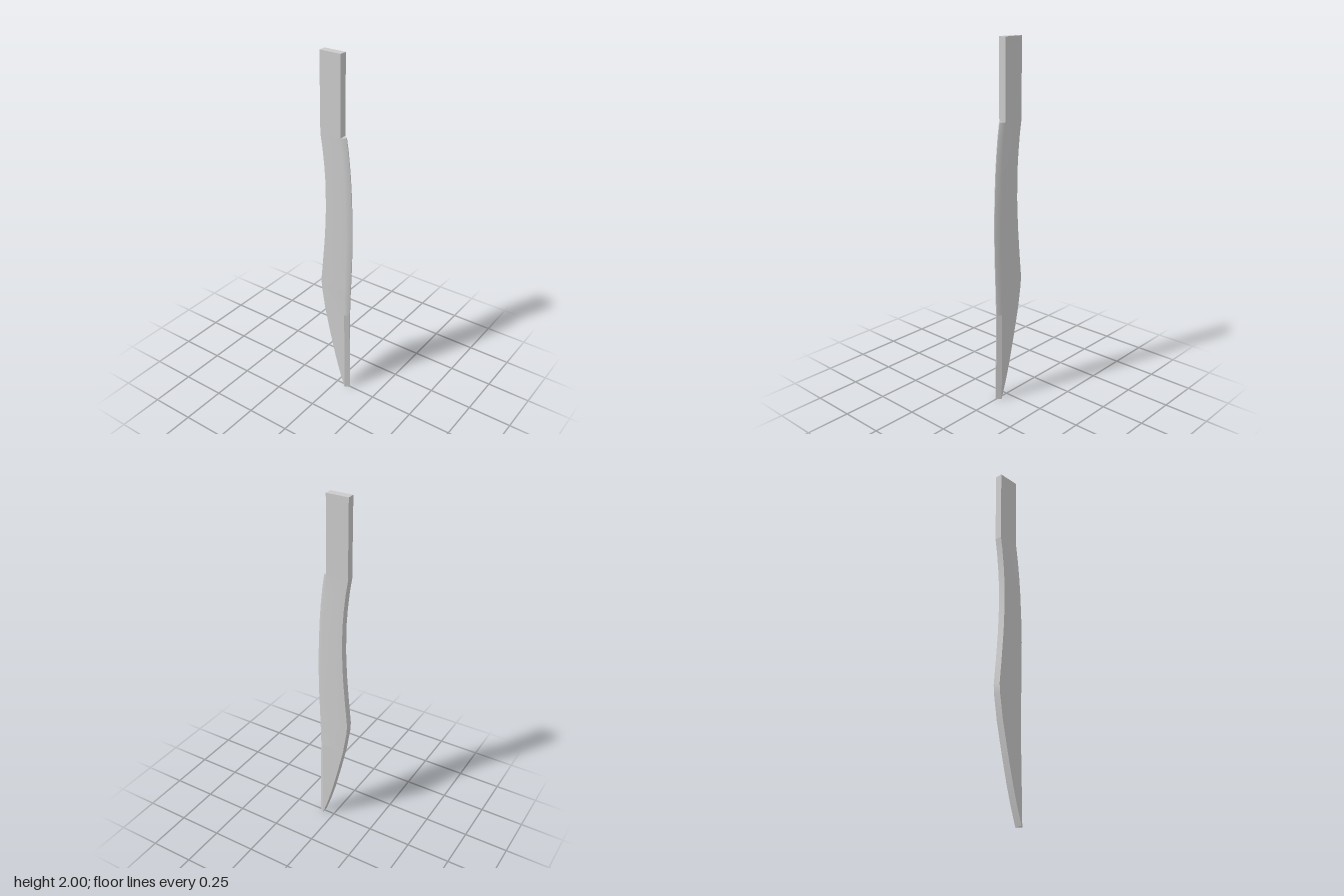
import * as THREE from 'three';
import { mergeVertices } from 'three/addons/utils/BufferGeometryUtils.js';

const HALF = 0.021;  // half thickness of the stock
const TIP = 0.002;   // half thickness of the cutting edge

// Blade stations from top to bottom: [y, spine z, bevel start z, edge z]
const stations = [
  [1.575, -0.093, 0.032, 0.055],
  [1.5, -0.081, 0.042, 0.067],
  [1.4, -0.07, 0.051, 0.078],
  [1.3, -0.063, 0.057, 0.086],
  [1.15, -0.062, 0.063, 0.093],
  [1.0, -0.069, 0.066, 0.096],
  [0.85, -0.082, 0.065, 0.094],
  [0.7, -0.097, 0.062, 0.089],
  [0.65, -0.094, 0.061, 0.087],
  [0.515, -0.073, 0.06, 0.084],
  [0.35, -0.036, 0.061, 0.086],
  [0.2, 0.001, 0.062, 0.088],
  [0.1, 0.03, 0.063, 0.089],
  [0, 0.064, 0.066, 0.09],
];
const HEEL = 9;  // station below which the bevel has a sharp border

// Cross-section ring, counter-clockwise seen from above
const ring = ([y, spine, bevel, edge]) => [
  [HALF, y, spine], [-HALF, y, spine], [-HALF, y, bevel],
  [-TIP, y, edge], [TIP, y, edge], [HALF, y, bevel],
];

function geometryFrom(points) {
  const g = new THREE.BufferGeometry();
  g.setAttribute('position', new THREE.Float32BufferAttribute(points.flat(), 3));
  const merged = mergeVertices(g, 1e-5);
  merged.computeVertexNormals();
  return merged;
}

// Lengthwise faces of the blade, smoothly joined to each other
function strip(rings, sides) {
  const points = [];
  for (const i of sides) {
    const j = (i + 1) % 6;
    for (let k = 0; k < rings.length - 1; k++) {
      const a = rings[k][i], b = rings[k][j], c = rings[k + 1][j], d = rings[k + 1][i];
      points.push(a, c, b, a, d, c);
    }
  }
  return geometryFrom(points);
}

// Flat convex face through a loop of corners
function face(loop) {
  const points = [];
  for (let i = 1; i < loop.length - 1; i++) points.push(loop[0], loop[i], loop[i + 1]);
  return geometryFrom(points);
}

export function createModel() {
  const model = new THREE.Group();
  model.name = 'knife';
  const steel = new THREE.MeshStandardMaterial({ color: 0xcacaca });
  steel.name = 'grey steel';
  const add = (parent, geometry, name) => {
    const mesh = new THREE.Mesh(geometry, steel);
    mesh.name = name;
    parent.add(mesh);
    return mesh;
  };

  // Blade with a wavy spine; the bevel blends into the sides above the heel
  const blade = new THREE.Group();
  blade.name = 'blade';
  const rings = stations.map(ring);
  const upper = rings.slice(0, HEEL + 1), lower = rings.slice(HEEL);
  add(blade, strip(rings, [0]), 'spine');
  add(blade, strip(rings, [3]), 'cuttingEdge');
  add(blade, strip(upper, [1, 2]), 'rightUpperFlank');
  add(blade, strip(upper, [4, 5]), 'leftUpperFlank');
  add(blade, strip(lower, [1]), 'rightLowerSide');
  add(blade, strip(lower, [2]), 'rightLowerBevel');
  add(blade, strip(lower, [4]), 'leftLowerBevel');
  add(blade, strip(lower, [5]), 'leftLowerSide');

  // Small ledge in front of the handle, and the closed lower end
  add(blade, face(rings[0].slice(2)), 'shoulder');
  add(blade, face([...rings[rings.length - 1]].reverse()), 'point');
  model.add(blade);

  // Straight rectangular handle
  const handle = add(model, new THREE.BoxGeometry(HALF * 2, 0.425, 0.125), 'handle');
  handle.position.set(0, 1.7875, -0.0305);

  return model;
}
